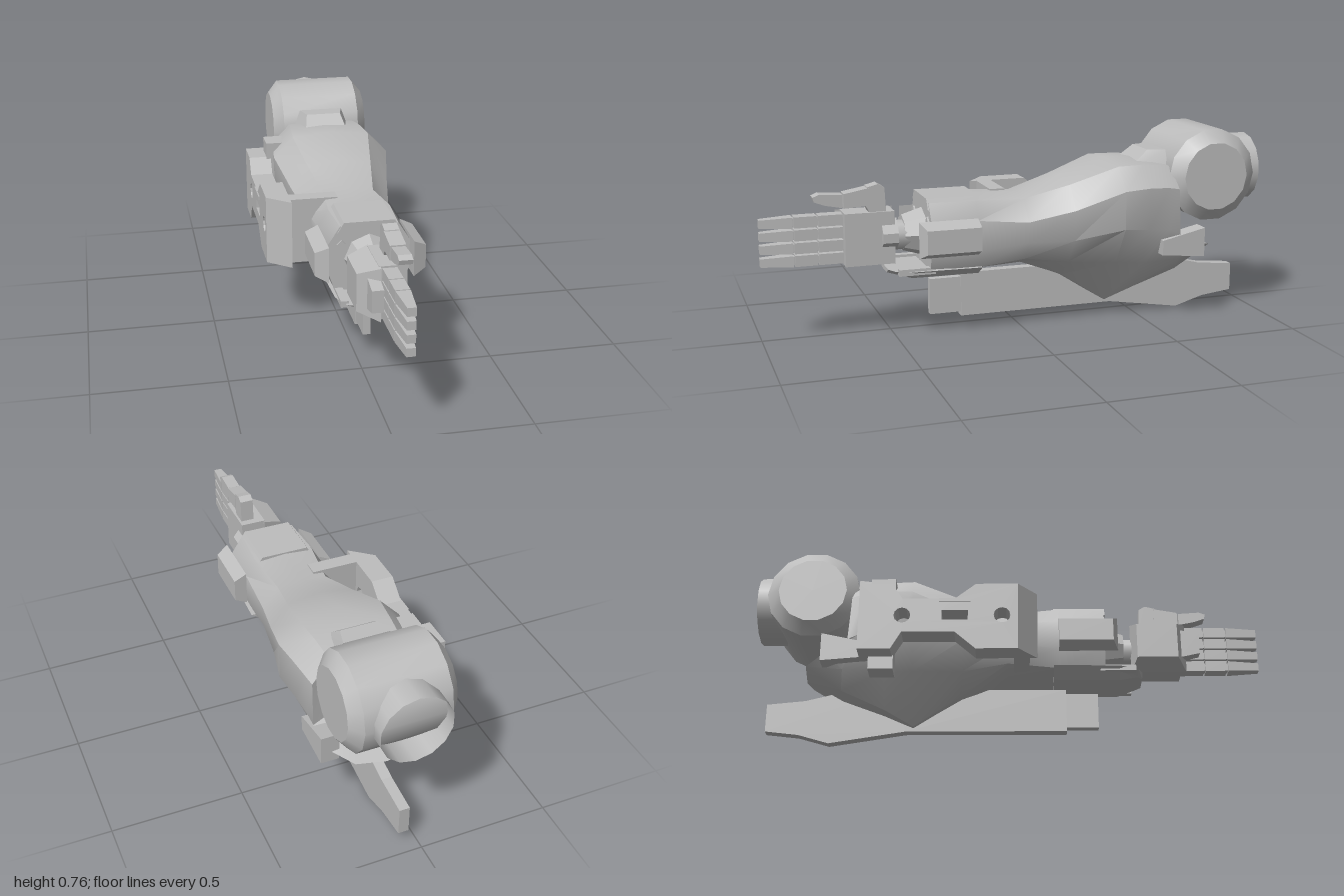
import * as THREE from 'three';
import { toCreasedNormals } from 'three/addons/utils/BufferGeometryUtils.js';

const CX = 0.05; // centre line of the arm
const grey = new THREE.MeshStandardMaterial({ color: 0xbdbdbd });
grey.name = 'plain grey';
const greyOpen = new THREE.MeshStandardMaterial({ color: 0xbdbdbd, side: THREE.DoubleSide });
greyOpen.name = 'plain grey open';

function part(parent, name, geometry, material = grey) {
  const mesh = new THREE.Mesh(geometry, material);
  mesh.name = name;
  parent.add(mesh);
  return mesh;
}

// Box given by its limits
function box(x0, x1, y0, y1, z0, z1) {
  return new THREE.BoxGeometry(x1 - x0, y1 - y0, z1 - z0)
    .translate((x0 + x1) / 2, (y0 + y1) / 2, (z0 + z1) / 2);
}

// Move every vertex by a rule
function warp(geometry, rule) {
  const p = geometry.attributes.position;
  const v = new THREE.Vector3();
  for (let i = 0; i < p.count; i++) {
    rule(v.fromBufferAttribute(p, i));
    p.setXYZ(i, v.x, v.y, v.z);
  }
  return toCreasedNormals(geometry, 0.3);
}

const shapeOf = (pts) => new THREE.Shape(pts.map(([a, b]) => new THREE.Vector2(a, b)));

// Side outline in (z, y), thick in x
function sideSlab(shape, x0, x1) {
  return new THREE.ExtrudeGeometry(shape, { depth: x1 - x0, bevelEnabled: false, curveSegments: 6 })
    .rotateY(-Math.PI / 2).translate(x1, 0, 0);
}

// Plan outline in (x, z), thick in y
function planSlab(pts, y0, y1) {
  return new THREE.ExtrudeGeometry(shapeOf(pts), { depth: y1 - y0, bevelEnabled: false })
    .rotateX(Math.PI / 2).translate(0, y1, 0);
}

// Mirrored cross-sections, each a half ring of [dx, y, z] from top to bottom
function loft(halfRings, frontCentre, backCentre) {
  const rings = halfRings.map((h) => [...h, ...h.slice(1, -1).reverse().map(([x, y, z]) => [-x, y, z])]);
  const n = rings[0].length;
  const pos = rings.flat().concat([frontCentre, backCentre]).flatMap(([x, y, z]) => [CX + x, y, z]);
  const front = n * rings.length;
  const last = n * (rings.length - 1);
  const index = [];
  for (let j = 0; j < n; j++) {
    const k = (j + 1) % n;
    for (let i = 0; i < rings.length - 1; i++) {
      const a = i * n + j, b = i * n + k;
      index.push(a, b, a + n, b, b + n, a + n);
    }
    index.push(front, k, j, front + 1, last + j, last + k);
  }
  const g = new THREE.BufferGeometry();
  g.setAttribute('position', new THREE.Float32BufferAttribute(pos, 3));
  g.setIndex(index);
  return toCreasedNormals(g, 0.6);
}

function buildForearm(arm) {
  const at = (z, pts) => pts.map(([x, y]) => [x, y, z]);
  part(arm, 'forearm', loft([
    at(0.38, [[0, 0.535], [0.11, 0.53], [0.155, 0.46], [0.155, 0.35], [0.13, 0.28], [0.06, 0.27], [0, 0.265]]),
    at(0.2, [[0, 0.54], [0.12, 0.53], [0.16, 0.46], [0.16, 0.34], [0.13, 0.27], [0.06, 0.25], [0, 0.25]]),
    at(0, [[0, 0.53], [0.1, 0.52], [0.165, 0.44], [0.165, 0.36], [0.13, 0.29], [0.06, 0.26], [0, 0.255]]),
    at(-0.18, [[0, 0.59], [0.13, 0.57], [0.2, 0.48], [0.19, 0.36], [0.12, 0.26], [0.045, 0.19], [0, 0.18]]),
    at(-0.37, [[0, 0.65], [0.16, 0.635], [0.24, 0.55], [0.24, 0.4], [0.15, 0.25], [0.035, 0.065], [0, 0.062]]),
    at(-0.48, [[0, 0.645], [0.15, 0.635], [0.23, 0.555], [0.225, 0.39], [0.16, 0.24], [0.07, 0.12], [0, 0.11]]),
    [[0, 0.64, -0.54], [0.145, 0.63, -0.54], [0.22, 0.55, -0.56], [0.215, 0.38, -0.57],
      [0.17, 0.25, -0.64], [0.1, 0.19, -0.65], [0, 0.175, -0.65]],
    [[0, 0.63, -0.6], [0.14, 0.62, -0.6], [0.21, 0.54, -0.61], [0.21, 0.36, -0.62],
      [0.19, 0.31, -0.71], [0.12, 0.285, -0.79], [0, 0.265, -0.8]],
  ], [0, 0.4, 0.38], [0, 0.4, -0.56]));

  // Raised ramp in front of the elbow
  part(arm, 'topRamp', warp(box(-0.07, 0.17, 0.6, 0.68, -0.6, -0.43), (v) => {
    const front = v.z > -0.5;
    if (front) v.x = CX + (v.x - CX) * 0.8;
    if (v.y > 0.65) {
      v.x = CX + (v.x - CX) * 0.75;
      if (front) v.z = -0.53;
    }
  }));

  // Wrist cuff
  part(arm, 'cuffTop', warp(box(-0.07, 0.17, 0.505, 0.545, 0.18, 0.385), (v) => {
    if (v.y > 0.53) v.x = CX + (v.x - CX) * 0.8;
  }));
  part(arm, 'cuffTongue', warp(planSlab([[-0.1, 0.18], [0.2, 0.18], [0.19, 0.44], [0.16, 0.51],
    [0.12, 0.53], [-0.02, 0.53], [-0.06, 0.51], [-0.09, 0.44]], 0.238, 0.275), (v) => {
    if (v.y < 0.25) v.x = CX + (v.x - CX) * 0.6;
    if (v.z > 0.5 && v.y < 0.25) v.y += 0.02;
  }));
  for (const s of [-1, 1]) {
    part(arm, 'cuffFin', warp(box(-0.025, 0.025, 0.33, 0.47, 0.2, 0.43), (v) => {
      const outer = v.x * s > 0;
      v.x += CX + s * 0.185;
      if (outer) {
        v.y = 0.4 + (v.y - 0.4) * 0.65;
        if (v.z > 0.3) v.z -= 0.02;
      }
    }));
    part(arm, 'cuffLug', box(CX + s * 0.115 - 0.015, CX + s * 0.115 + 0.015, 0.26, 0.285, 0.36, 0.5));
    const stud = part(arm, 'diamondStud', new THREE.BoxGeometry(0.025, 0.025, 0.008));
    stud.position.set(CX + s * 0.105, 0.46, 0.383);
    stud.rotation.z = Math.PI / 4;
    // Blocks beside the elbow
    part(arm, 'elbowBlock', warp(box(-0.035, 0.035, 0.265, 0.38, -0.72, -0.54), (v) => {
      v.x += CX + s * 0.187;
      if (v.z > -0.6) v.y = v.y > 0.3 ? 0.34 : 0.28;
    }));
  }

  // Long blade under the arm
  part(arm, 'blade', sideSlab(shapeOf([[0.23, 0.225], [-0.45, 0.225], [-0.62, 0.225], [-0.8, 0.18], [-0.95, 0.165],
    [-0.95, 0.052], [-0.82, 0.037], [-0.7, 0.002], [-0.4, 0.05], [0.23, 0.05]]), 0.03, 0.07));
  part(arm, 'bladeTip', box(0.035, 0.065, 0.066, 0.208, 0.2, 0.355));
}

function buildElbow(arm) {
  const profile = [[0, -0.203], [0.135, -0.203], [0.185, -0.163], [0.185, 0.163], [0.135, 0.203], [0, 0.203]];
  const drum = new THREE.LatheGeometry(profile.map(([r, y]) => new THREE.Vector2(r, y)), 14)
    .rotateZ(-Math.PI / 2).translate(0.0525, 0.58, -0.77);
  part(arm, 'elbowDrum', toCreasedNormals(drum, 0.55));
  const stub = new THREE.CylinderGeometry(0.137, 0.137, 0.18, 14, 1, true)
    .rotateX(Math.PI / 2).translate(0.047, 0.58, -0.91);
  part(arm, 'upperArmTube', stub, greyOpen);
}

function buildSideMount(arm) {
  const mount = new THREE.Group();
  mount.name = 'sideMount';
  arm.add(mount);
  const outline = shapeOf([[-0.565, 0.26], [-0.44, 0.26], [-0.4, 0.33], [-0.2, 0.33], [-0.12, 0.26], [0.115, 0.26],
    [0.115, 0.533], [-0.12, 0.533], [-0.2, 0.47], [-0.4, 0.47], [-0.44, 0.533], [-0.565, 0.533]]);
  for (const z of [-0.4, -0.02]) outline.holes.push(new THREE.Path().absarc(z, 0.4, 0.032, 0, Math.PI * 2, true));
  outline.holes.push(new THREE.Path([[-0.25, 0.38], [-0.25, 0.42], [-0.15, 0.42], [-0.15, 0.38]]
    .map(([a, b]) => new THREE.Vector2(a, b))));
  part(mount, 'mountPlate', warp(sideSlab(outline, -0.285, -0.195), (v) => {
    if (v.z > 0.1 && v.x < -0.25) v.z -= 0.075;
  }));
  part(mount, 'mountPin', box(-0.29, -0.2, 0.455, 0.47, -0.26, -0.14));
  part(mount, 'rearBracket', box(-0.213, -0.13, 0.21, 0.593, -0.53, -0.435));
  part(mount, 'frontBracket', box(-0.2, -0.01, 0.27, 0.533, 0.025, 0.085));
}

function buildHand(arm) {
  const hand = new THREE.Group();
  hand.name = 'hand';
  arm.add(hand);
  // Wrist joint
  part(hand, 'wristCollar', toCreasedNormals(new THREE.CylinderGeometry(0.07, 0.1, 0.1, 8)
    .rotateX(Math.PI / 2).translate(CX, 0.4, 0.41), 0.3));
  part(hand, 'wristRod', new THREE.CylinderGeometry(0.058, 0.058, 0.1, 10)
    .rotateX(Math.PI / 2).translate(0.062, 0.395, 0.47));
  // Palm with back guard
  part(hand, 'palm', box(0.015, 0.117, 0.297, 0.5, 0.5, 0.69));
  part(hand, 'palmHeel', warp(box(0.1, 0.14, 0.35, 0.47, 0.49, 0.55), (v) => {
    if (v.x > 0.12) v.y = 0.4 + (v.y - 0.41) * 0.3;
  }));
  part(hand, 'handGuard', warp(box(-0.06, 0.02, 0.295, 0.5, 0.49, 0.71), (v) => {
    if (v.x < 0) {
      v.y = 0.4 + (v.y - 0.4) * 0.7;
      v.z = v.z > 0.6 ? 0.67 : 0.51;
    }
  }));
  part(hand, 'knuckleGuard', warp(box(-0.025, 0.018, 0.34, 0.46, 0.68, 0.76), (v) => {
    if (v.z > 0.7) v.y = 0.4 + (v.y - 0.4) * 0.7;
  }));
  // Four fingers of three segments
  const segments = [[0.685, 0.782], [0.788, 0.872], [0.878, 1]];
  for (const y of [0.472, 0.423, 0.374, 0.325]) {
    segments.forEach(([z0, z1], i) => {
      part(hand, 'fingerSegment', warp(box(0.027, 0.08, y - 0.021, y + 0.021, z0, z1), (v) => {
        if (i === 2 && v.z > 0.95) {
          v.x = 0.053 + (v.x - 0.053) * 0.6;
          v.y = y + (v.y - y) * 0.75;
        }
      }));
    });
    part(hand, 'fingerCore', box(0.036, 0.07, y - 0.015, y + 0.015, 0.68, 0.9));
  }
  // Thumb
  part(hand, 'thumbBase', sideSlab(shapeOf([[0.53, 0.49], [0.59, 0.49], [0.61, 0.53], [0.6, 0.595],
    [0.56, 0.605], [0.535, 0.59]]), 0.054, 0.108));
  part(hand, 'thumbMiddle', sideSlab(shapeOf([[0.595, 0.525], [0.69, 0.52], [0.69, 0.575], [0.595, 0.592]]), 0.052, 0.11));
  part(hand, 'thumbTip', sideSlab(shapeOf([[0.695, 0.522], [0.76, 0.535], [0.8, 0.55], [0.805, 0.568],
    [0.78, 0.578], [0.695, 0.572]]), 0.056, 0.106));
}

export function createModel() {
  const arm = new THREE.Group();
  arm.name = 'mechanicalArm';
  buildForearm(arm);
  buildElbow(arm);
  buildSideMount(arm);
  buildHand(arm);
  return arm;
}
